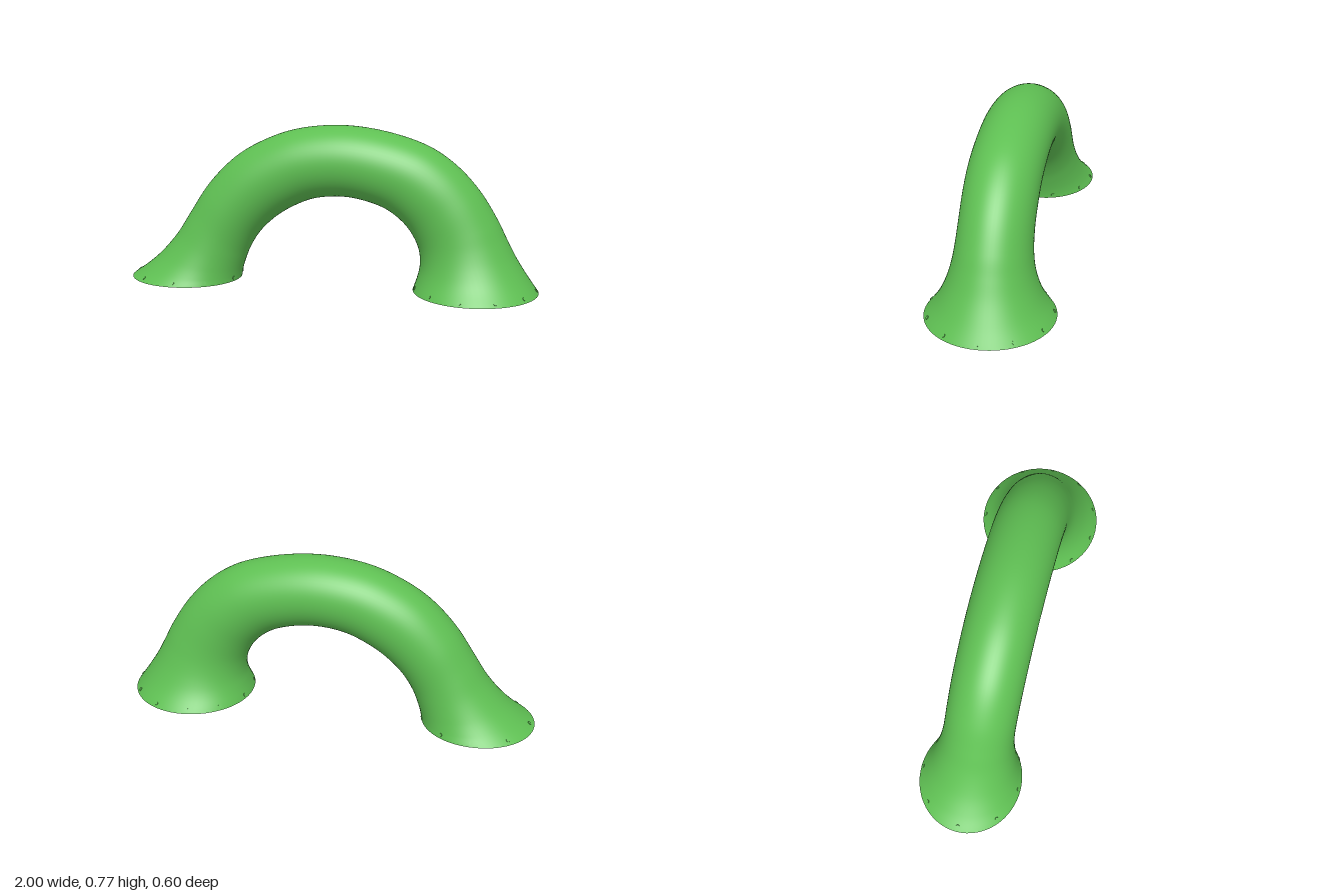
import * as THREE from 'three';

// Cross-sections from the right foot over the arch to the left foot:
// outer x, outer y, inner x, inner y, half depth
const SECTIONS = [
  [-1, 0, -0.455, 0, 0.25],
  [-0.93, 0.05, -0.452, 0.02, 0.228],
  [-0.85, 0.12, -0.445, 0.05, 0.205],
  [-0.765, 0.22, -0.43, 0.095, 0.184],
  [-0.695, 0.33, -0.405, 0.155, 0.172],
  [-0.6, 0.473, -0.355, 0.235, 0.17],
  [-0.47, 0.605, -0.28, 0.31, 0.17],
  [-0.33, 0.69, -0.19, 0.37, 0.17],
  [-0.17, 0.748, -0.08, 0.417, 0.17],
  [0.05, 0.773, 0.05, 0.433, 0.17],
  [0.27, 0.748, 0.16, 0.42, 0.17],
  [0.47, 0.685, 0.27, 0.383, 0.17],
  [0.6, 0.6, 0.35, 0.325, 0.17],
  [0.71, 0.485, 0.395, 0.27, 0.17],
  [0.8, 0.345, 0.425, 0.21, 0.176],
  [0.845, 0.255, 0.436, 0.16, 0.188],
  [0.89, 0.168, 0.436, 0.11, 0.21],
  [0.945, 0.08, 0.425, 0.06, 0.245],
  [1, 0, 0.405, 0, 0.2975],
];

// The z of the outer curve carries the half depth
const outer = new THREE.CatmullRomCurve3(SECTIONS.map(s => new THREE.Vector3(s[0], s[1], s[4])));
const inner = new THREE.CatmullRomCurve3(SECTIONS.map(s => new THREE.Vector3(s[2], s[3], 0)));

// Point on the skin: u runs along the arch, angle 0 is the outer side
function skinPoint(u, angle) {
  const o = outer.getPoint(u), i = inner.getPoint(u);
  const k = (1 + Math.cos(angle)) / 2;
  return new THREE.Vector3(
    i.x + (o.x - i.x) * k,
    Math.max(0, i.y + (o.y - i.y) * k),
    o.z * Math.sin(angle)
  );
}

function archGeometry(rings = 108, sides = 64) {
  const pos = [], index = [];
  for (let i = 0; i <= rings; i++) {
    for (let j = 0; j < sides; j++) {
      pos.push(...skinPoint(i / rings, (j / sides) * Math.PI * 2).toArray());
      if (i === rings) continue;
      const n = (j + 1) % sides;
      const a = i * sides + j, b = i * sides + n, c = a + sides, d = b + sides;
      index.push(a, b, c, b, d, c);
    }
  }
  const g = new THREE.BufferGeometry();
  g.setAttribute('position', new THREE.Float32BufferAttribute(pos, 3));
  g.setIndex(index);
  g.computeVertexNormals();
  return g;
}

export function createModel() {
  const model = new THREE.Group();
  model.name = 'archedPipe';
  const green = new THREE.MeshStandardMaterial({ color: 0x5fc053 });

  function add(parent, geometry, name) {
    const mesh = new THREE.Mesh(geometry, green);
    mesh.name = name;
    parent.add(mesh);
    return mesh;
  }

  add(model, archGeometry(), 'archedTube');

  // Flat undersides of the two flared feet
  function addSole(s, name) {
    const sole = add(model, new THREE.CircleGeometry(1, 64), name);
    sole.rotation.x = Math.PI / 2;
    sole.scale.set(Math.abs(s[0] - s[2]) / 2, s[4], 1);
    sole.position.x = (s[0] + s[2]) / 2;
  }
  addSole(SECTIONS[0], 'rightSole');
  addSole(SECTIONS[SECTIONS.length - 1], 'leftSole');

  // Tiny round studs just above the rim of each foot, lying on the skin
  const studGeometry = new THREE.CylinderGeometry(0.009, 0.009, 0.006, 12);
  function addStuds(start, step, degrees, name) {
    const ring = new THREE.Group();
    ring.name = name;
    model.add(ring);
    for (const deg of degrees) {
      const angle = THREE.MathUtils.degToRad(deg);
      let u = start;
      while (skinPoint(u, angle).y < 0.017) u += step;
      const p = skinPoint(u, angle);
      const along = skinPoint(u + 0.002, angle).sub(skinPoint(u - 0.002, angle));
      const around = skinPoint(u, angle + 0.02).sub(skinPoint(u, angle - 0.02));
      const normal = around.cross(along).normalize();
      const stud = add(ring, studGeometry, 'stud');
      stud.position.copy(p);
      stud.quaternion.setFromUnitVectors(new THREE.Vector3(0, 1, 0), normal);
    }
  }
  addStuds(0.003, 0.0005, [0, 46, -46, 86, -86, 120, -120, 160, -160], 'rightFootStuds');
  addStuds(0.997, -0.0005, Array.from({ length: 11 }, (_, i) => (i * 360) / 11), 'leftFootStuds');

  return model;
}
